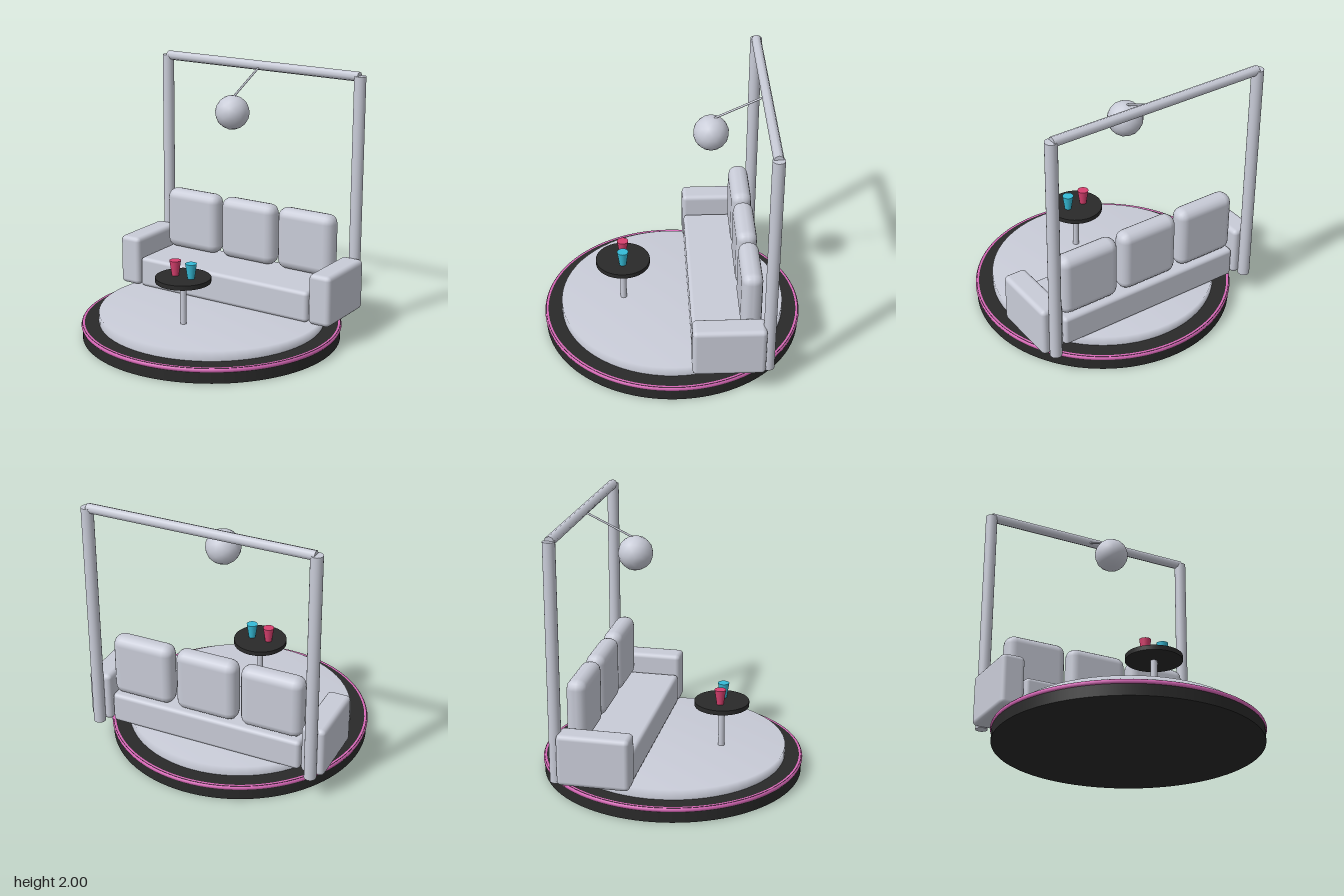
import * as THREE from 'three';
import { RoundedBoxGeometry } from 'three/addons/geometries/RoundedBoxGeometry.js';

const mat = (name, color) => {
  const m = new THREE.MeshStandardMaterial({ color });
  m.name = name;
  return m;
};

export function createModel() {
  const grey = mat('pale grey', 0xc9ccd8);
  const black = mat('black', 0x2a2a2a);
  const pink = mat('pink trim', 0xd968b8);
  const rose = mat('rose cup', 0xd9406f);
  const cyan = mat('cyan cup', 0x35bcd8);

  const model = new THREE.Group();
  model.name = 'loungePlatform';

  const add = (name, geometry, material, x = 0, y = 0, z = 0) => {
    const mesh = new THREE.Mesh(geometry, material);
    mesh.name = name;
    mesh.position.set(x, y, z);
    model.add(mesh);
    return mesh;
  };

  // Upright cylinder given by its bottom and top heights
  const column = (name, material, rTop, rBottom, y0, y1, x, z, sides = 24) =>
    add(name, new THREE.CylinderGeometry(rTop, rBottom, y1 - y0, sides), material, x, (y0 + y1) / 2, z);

  // Soft block given by its min and max corners
  const cushion = (name, a, b, radius) => {
    const [w, h, d] = a.map((v, i) => b[i] - v);
    const [x, y, z] = a.map((v, i) => (v + b[i]) / 2);
    return add(name, new RoundedBoxGeometry(w, h, d, 2, radius), grey, x, y, z);
  };

  // Round platform with glowing trim
  column('platformBase', black, 0.98, 0.98, 0, 0.115, 0, 0, 96);
  const trim = add('platformTrim', new THREE.TorusGeometry(0.97, 0.019, 10, 96), pink, 0, 0.098, 0);
  trim.rotation.x = Math.PI / 2;

  // Raised floor, shaded softly over its rim
  const floorProfile = [[0.855, 0.11], [0.855, 0.192], [0, 0.192]].map(p => new THREE.Vector2(...p));
  add('raisedFloor', new THREE.LatheGeometry(floorProfile, 64), grey);

  // Sofa
  cushion('sofaSeat', [-0.76, 0.192, -0.64], [0.76, 0.43, -0.12], 0.03);
  for (const x of [-0.515, 0, 0.515])
    cushion('backCushion', [x - 0.242, 0.432, -0.625], [x + 0.242, 0.917, -0.47], 0.07);

  for (const s of [-1, 1]) {
    cushion(s > 0 ? 'leftArm' : 'rightArm', [s * 0.86 - 0.09, 0.192, -0.647], [s * 0.86 + 0.09, 0.582, -0.113], 0.035);
    column(s > 0 ? 'leftPost' : 'rightPost', grey, 0.045, 0.045, 0.19, 1.968, s * 0.86, -0.67, 20);
  }

  // Cross beam
  const beam = add('crossBeam', new THREE.CylinderGeometry(0.037, 0.037, 1.71, 8), grey, 0, 1.963, -0.67);
  beam.rotation.z = Math.PI / 2;

  // Hanging lamp on a slanted rod
  const rodPath = new THREE.LineCurve3(new THREE.Vector3(0, 1.955, -0.66), new THREE.Vector3(0, 1.77, -0.27));
  add('lampRod', new THREE.TubeGeometry(rodPath, 1, 0.008, 8), grey);
  add('lampGlobe', new THREE.IcosahedronGeometry(0.13, 2), grey, 0, 1.666, -0.28);

  // Side table with two cups
  column('tableLeg', grey, 0.024, 0.024, 0.19, 0.525, 0, 0.375, 16);
  column('tableTop', black, 0.206, 0.206, 0.52, 0.555, 0, 0.375, 40);
  column('roseCup', rose, 0.043, 0.026, 0.554, 0.67, -0.07, 0.375, 16);
  column('cyanCup', cyan, 0.043, 0.026, 0.554, 0.67, 0.07, 0.375, 16);

  return model;
}
